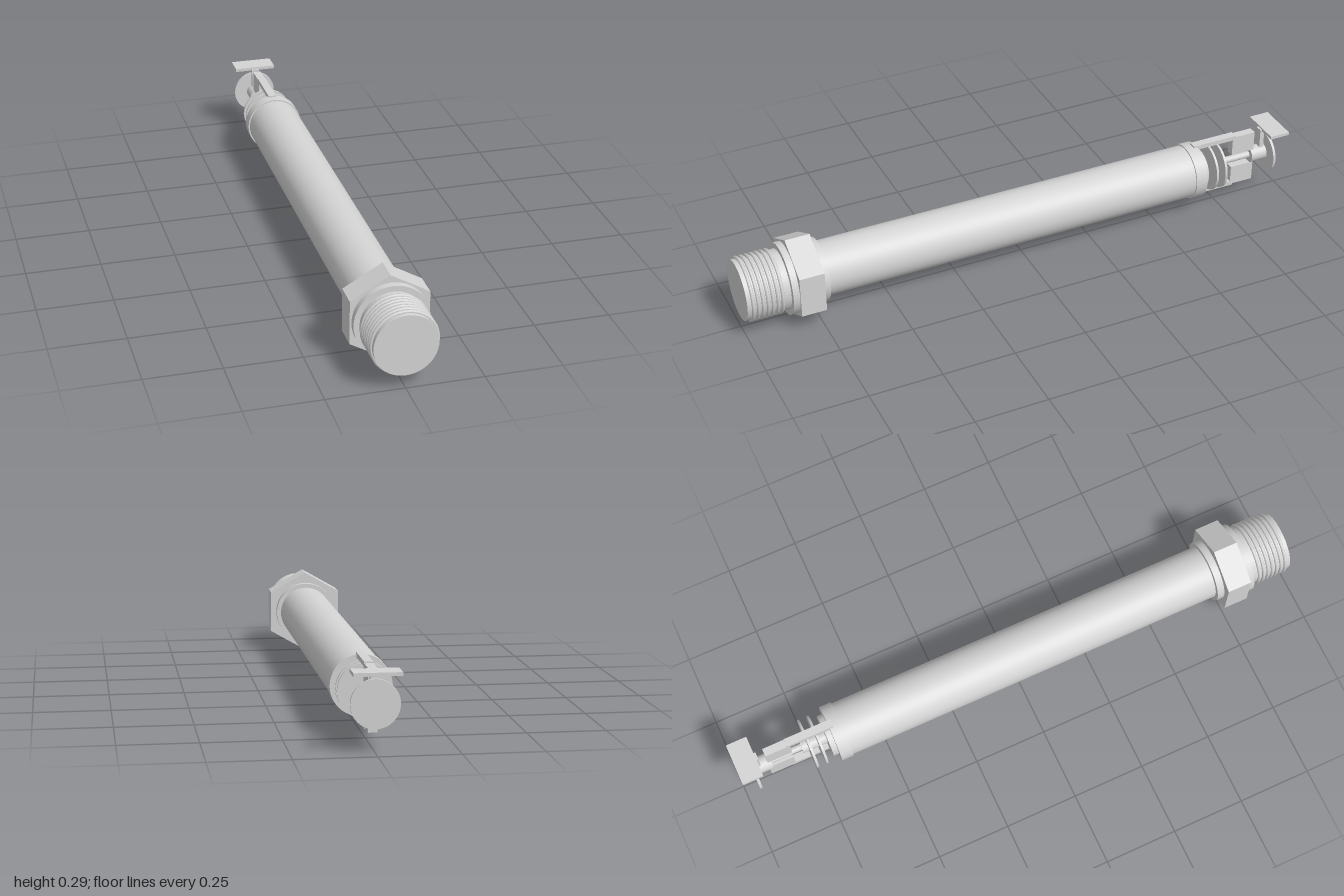
import * as THREE from 'three';

const AXIS_Y = 0.147;

export function createModel() {
  const model = new THREE.Group();
  const steel = new THREE.MeshStandardMaterial({ color: 0xd4d4d4 });
  steel.name = 'lightGreyMetal';

  function add(name, geometry, x = 0, y = AXIS_Y, z = 0) {
    const mesh = new THREE.Mesh(geometry, steel);
    mesh.name = name;
    mesh.position.set(x, y, z);
    model.add(mesh);
    return mesh;
  }

  // Round part along z, from z0 (front) to z1 (back)
  function rod(name, z0, z1, radius, sides = 48) {
    const g = new THREE.CylinderGeometry(radius, radius, z0 - z1, sides);
    g.rotateX(Math.PI / 2);
    return add(name, g, 0, AXIS_Y, (z0 + z1) / 2);
  }

  // Box given by width, bottom, top, front and back
  function block(name, w, y0, y1, z0, z1) {
    add(name, new THREE.BoxGeometry(w, y1 - y0, z0 - z1), 0, (y0 + y1) / 2, (z0 + z1) / 2);
  }

  // Threaded inlet with rounded ridges
  rod('inletCore', 1, 0.85, 0.102);
  for (let i = 0; i < 7; i++) {
    add('threadRidge', new THREE.TorusGeometry(0.104, 0.006, 8, 32), 0, AXIS_Y, 0.98 - i * 0.0165);
  }

  // Hexagonal nut with collars
  rod('frontCollar', 0.852, 0.83, 0.121);
  const hex = rod('hexNut', 0.83, 0.745, 0.146, 6);
  hex.geometry = hex.geometry.toNonIndexed();
  hex.geometry.computeVertexNormals();
  rod('rearCollar', 0.745, 0.72, 0.107);

  // Long barrel and end cap
  rod('barrel', 0.72, -0.63, 0.092);
  rod('endCap', -0.627, -0.669, 0.097);
  rod('capStep', -0.669, -0.688, 0.072);

  // Stem with two thin discs
  rod('stem', -0.688, -0.775, 0.023);
  for (const z of [-0.716, -0.75]) rod('stemDisc', z + 0.004, z - 0.004, 0.086);
  rod('pin', -0.775, -0.89, 0.012);

  // Paired frame arms with end blocks
  for (const s of [1, -1]) {
    const span = (a, b) => [AXIS_Y + s * a, AXIS_Y + s * b].sort((p, q) => p - q);
    block('frameArm', 0.028, ...span(0.086, 0.102), -0.655, -0.82);
    block('frameBlock', 0.028, ...span(0.026, 0.097), -0.81, -0.897);
  }

  // Hub, deflector disc and top plate
  rod('hub', -0.885, -0.945, 0.029);
  rod('deflectorDisc', -0.944, -0.953, 0.075);
  block('platePost', 0.026, 0.165, 0.244, -0.921, -0.937);
  block('topPlate', 0.146, 0.239, 0.25, -0.928, -1);

  return model;
}
